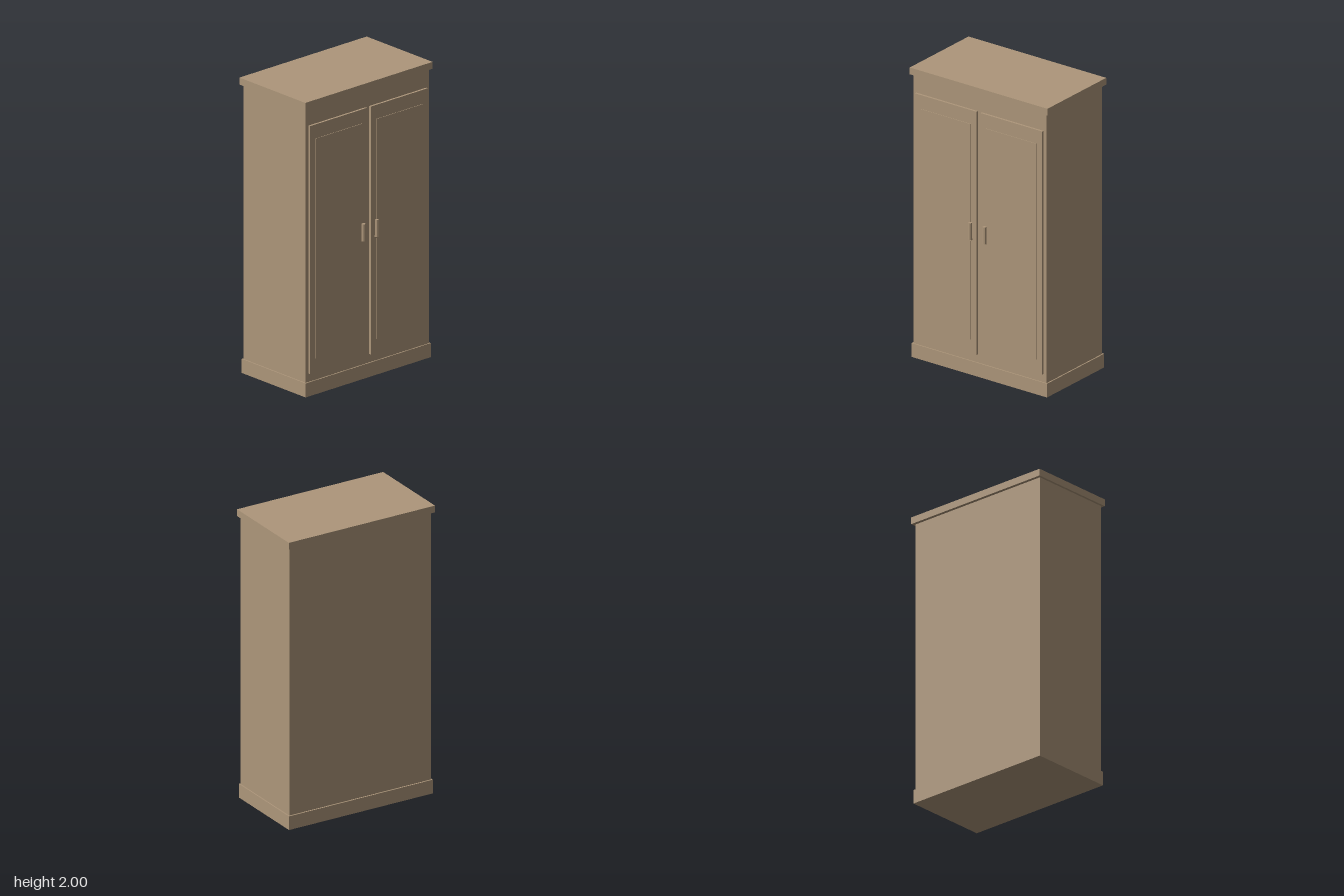
import * as THREE from 'three';

export function createModel() {
  const group = new THREE.Group();
  group.name = 'wardrobe';
  const wood = new THREE.MeshStandardMaterial({ color: 0xad967a });
  wood.name = 'tan wood';
  wood.flatShading = true;

  const add = (name, geometry) => {
    const mesh = new THREE.Mesh(geometry, wood);
    mesh.name = name;
    group.add(mesh);
    return mesh;
  };
  // Box given by its limits on each axis
  const box = (name, x0, x1, y0, y1, z0, z1) => {
    const mesh = add(name, new THREE.BoxGeometry(x1 - x0, y1 - y0, z1 - z0));
    mesh.position.set((x0 + x1) / 2, (y0 + y1) / 2, (z0 + z1) / 2);
  };

  // Carcass
  box('plinth', -0.538, 0.538, 0, 0.095, -0.31, 0.29);
  box('cabinet', -0.53, 0.53, 0.095, 1.953, -0.3, 0.282);
  box('cornice', -0.547, 0.547, 1.953, 2, -0.322, 0.297);

  // Doors with raised panels and handles, mirrored left and right
  for (const [side, s] of [['left', 1], ['right', -1]]) {
    const span = (a, b) => (s > 0 ? [a, b] : [-b, -a]);
    box(side + 'Door', ...span(0.016, 0.506), 0.152, 1.832, 0.282, 0.297);
    box(side + 'DoorPanel', ...span(0.06, 0.46), 0.247, 1.737, 0.297, 0.301);

    const handle = add(side + 'Handle', new THREE.CylinderGeometry(0.0125, 0.0125, 0.115, 8));
    handle.position.set(s * 0.057, 1.003, 0.31);

    // Small round mount behind the foot of the handle
    const mount = add(side + 'HandleMount', new THREE.CylinderGeometry(0.0105, 0.0105, 0.01, 8));
    mount.rotation.set(Math.PI / 2, Math.PI / 8, 0);
    mount.position.set(s * 0.057, 0.945, 0.304);
  }
  return group;
}
